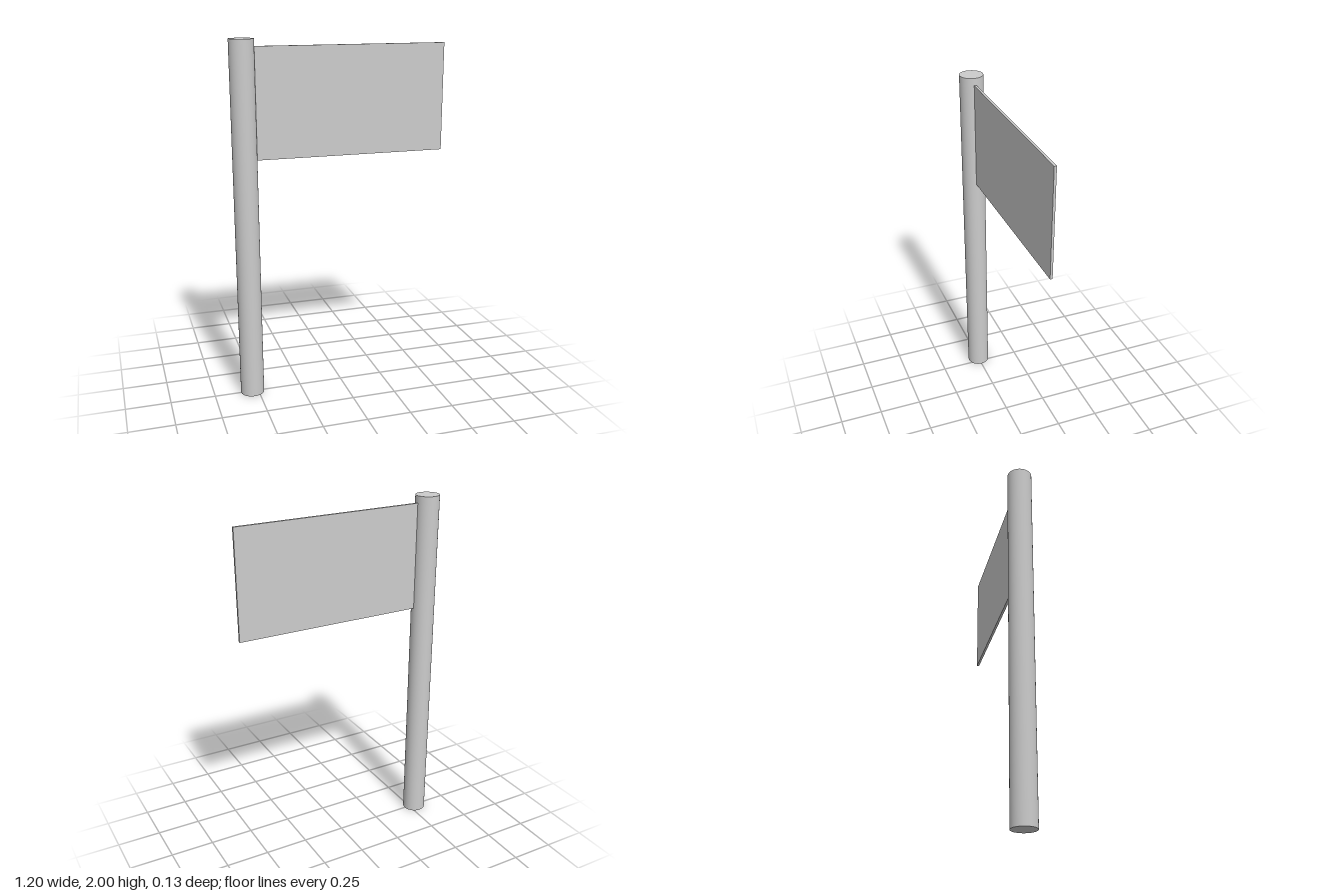
import * as THREE from 'three';

export function createModel() {
  const group = new THREE.Group();
  const material = new THREE.MeshStandardMaterial({ color: 0xcccccc });

  const radius = 0.0667;
  const flagWidth = 1.0667;
  const flagHeight = 0.6;

  // Round upright pole
  const pole = new THREE.Mesh(new THREE.CylinderGeometry(radius, radius, 2, 48), material);
  pole.name = 'pole';
  pole.position.set(-0.6 + radius, 1, 0);
  group.add(pole);

  // Thin flat flag, touching the pole along its edge
  const flag = new THREE.Mesh(new THREE.BoxGeometry(flagWidth, flagHeight, 0.0133), material);
  flag.name = 'flag';
  flag.position.set(0.6 - flagWidth / 2, 1.96 - flagHeight / 2, 0);
  group.add(flag);

  return group;
}
